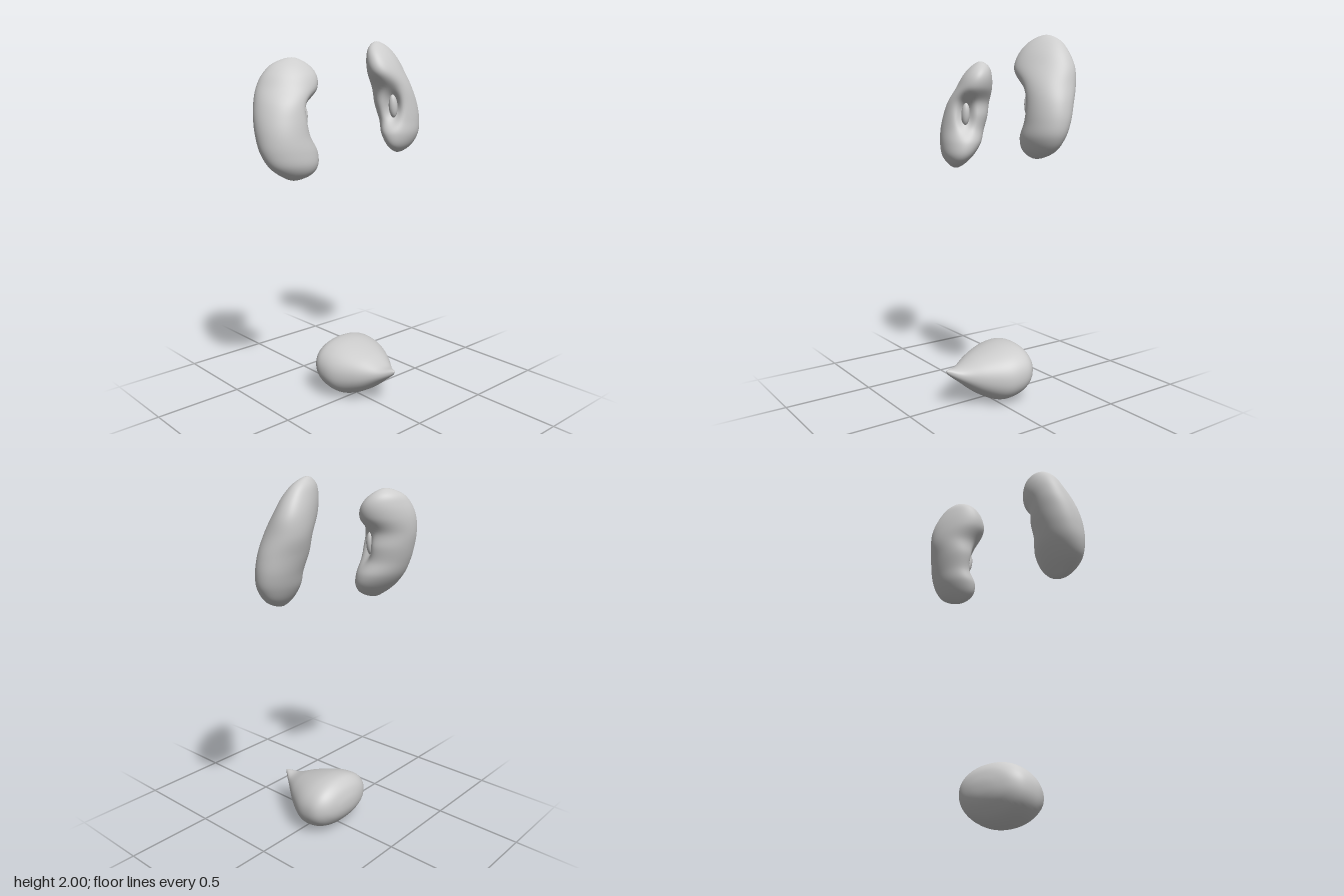
import * as THREE from 'three';
import { mergeVertices } from 'three/addons/utils/BufferGeometryUtils.js';

const SEGMENTS = 64;
const STEPS = 7;

// Smooth interpolation through four neighbouring values
function spline(a, b, c, d, t) {
  return 0.5 * (2 * b + (c - a) * t + (2 * a - 5 * b + 4 * c - d) * t * t + (3 * b - a - 3 * c + d) * t * t * t);
}

// Closed loft through rows of [s, uMin, uMax, vMin, vMax, skew]; skew slants each oval in the uv plane.
// A power below 1 squares the ovals; place(u, v, s) gives the final position; flip reverses the winding.
function loft(rows, power, place, flip) {
  const mirror = ([s, a, b, c, d, k]) => [s, b, a, d, c, k];
  const all = [mirror(rows[1]), ...rows, mirror(rows[rows.length - 2])];
  const wave = (a) => Math.sign(Math.cos(a)) * Math.abs(Math.cos(a)) ** power;
  const positions = [], index = [];
  let rings = 0;
  const addRing = (i, t) => {
    const [s, u0, u1, v0, v1, skew] = all[i].map((_, k) =>
      spline(all[i - 1][k], all[i][k], all[i + 1][k], all[i + 2][k], t));
    const delta = Math.acos(skew);
    for (let j = 0; j < SEGMENTS; j++) {
      const a = (j / SEGMENTS) * Math.PI * 2;
      const u = (u0 + u1) / 2 + ((u1 - u0) / 2) * wave(a);
      const v = (v0 + v1) / 2 + ((v1 - v0) / 2) * wave(a - delta);
      positions.push(...place(u, v, s));
    }
    rings++;
  };
  for (let i = 1; i < all.length - 2; i++) {
    for (let k = 0; k < STEPS; k++) addRing(i, k / STEPS);
  }
  addRing(all.length - 3, 1);
  for (let r = 0; r < rings - 1; r++) {
    for (let j = 0; j < SEGMENTS; j++) {
      const a = r * SEGMENTS + j, b = r * SEGMENTS + ((j + 1) % SEGMENTS);
      const c = a + SEGMENTS, d = b + SEGMENTS;
      if (flip) index.push(a, c, b, b, c, d);
      else index.push(a, b, c, b, d, c);
    }
  }
  const geometry = new THREE.BufferGeometry();
  geometry.setAttribute('position', new THREE.Float32BufferAttribute(positions, 3));
  geometry.setIndex(index);
  return mergeVertices(geometry, 1e-5);
}

// Press a soft oval pit into the side facing dir
function pressPit(geometry, centre, dir, depth) {
  const p = geometry.attributes.position;
  const across = new THREE.Vector3(dir.z, 0, -dir.x);
  const v = new THREE.Vector3();
  for (let i = 0; i < p.count; i++) {
    v.fromBufferAttribute(p, i).sub(centre);
    const reach = v.dot(dir);
    if (reach < 0) continue;
    const f = Math.exp(-((v.y / 0.085) ** 2) - (v.dot(across) / 0.045) ** 2);
    v.addScaledVector(dir, -depth * f * Math.min(1, reach / 0.05)).add(centre);
    p.setXYZ(i, v.x, v.y, v.z);
  }
}

// Horizontal slices of each kidney: [y, xMin, xMax, zMin, zMax, skew]
const LEFT = [
  [2.0, 0.3, 0.3, -0.16, -0.16, -0.4],
  [1.97, 0.225, 0.385, -0.2, -0.1, -0.4],
  [1.91, 0.188, 0.445, -0.222, -0.045, -0.4],
  [1.83, 0.187, 0.49, -0.235, -0.005, -0.38],
  [1.74, 0.242, 0.515, -0.232, 0.01, -0.2],
  [1.65, 0.253, 0.538, -0.208, 0.018, -0.08],
  [1.56, 0.27, 0.546, -0.18, 0.024, -0.08],
  [1.48, 0.265, 0.53, -0.15, 0.026, -0.12],
  [1.41, 0.295, 0.475, -0.105, 0, -0.25],
  [1.375, 0.37, 0.37, -0.05, -0.05, -0.3],
];
const RIGHT = [
  [1.905, -0.3, -0.3, -0.17, -0.17, 0.4],
  [1.875, -0.39, -0.228, -0.235, -0.11, 0.4],
  [1.82, -0.45, -0.193, -0.265, -0.06, 0.4],
  [1.75, -0.49, -0.2, -0.28, -0.03, 0.35],
  [1.67, -0.522, -0.25, -0.278, -0.008, 0.18],
  [1.59, -0.543, -0.25, -0.262, 0.008, 0.1],
  [1.51, -0.55, -0.255, -0.237, 0.02, 0.08],
  [1.43, -0.543, -0.236, -0.202, 0.03, 0.12],
  [1.36, -0.513, -0.25, -0.15, 0.028, 0.2],
  [1.31, -0.455, -0.3, -0.095, 0, 0.3],
  [1.285, -0.385, -0.385, -0.05, -0.05, 0.3],
];
// Slices of the bladder from tip to back: [z, xMin, xMax, yMin, yMax, skew]
const BLADDER = [
  [0.283, 0.025, 0.025, 0.212, 0.212, 0],
  [0.265, 0.007, 0.043, 0.185, 0.22, 0],
  [0.2, -0.042, 0.092, 0.132, 0.222, 0],
  [0.1, -0.12, 0.17, 0.053, 0.264, 0],
  [0, -0.177, 0.228, 0.003, 0.297, 0],
  [-0.08, -0.193, 0.243, 0.006, 0.313, 0],
  [-0.145, -0.182, 0.232, 0.036, 0.309, 0],
  [-0.19, -0.135, 0.185, 0.085, 0.275, 0],
  [-0.212, -0.06, 0.11, 0.13, 0.225, 0],
  [-0.218, 0.025, 0.025, 0.178, 0.178, 0],
];

export function createModel() {
  const model = new THREE.Group();
  const tissue = new THREE.MeshStandardMaterial({ color: 0xcccccc });
  tissue.name = 'light grey';

  const add = (name, geometry) => {
    geometry.computeVertexNormals();
    const mesh = new THREE.Mesh(geometry, tissue);
    mesh.name = name;
    model.add(mesh);
    return mesh;
  };

  // Kidneys, each with a hollow on the inner front and a small bud inside it
  const kidneys = [
    { name: 'leftKidney', rows: LEFT, side: 1, pit: new THREE.Vector3(0.4, 1.64, -0.09) },
    { name: 'rightKidney', rows: RIGHT, side: -1, pit: new THREE.Vector3(-0.39, 1.6, -0.12) },
  ];
  for (const { name, rows, side, pit } of kidneys) {
    const inward = new THREE.Vector3(-side, 0, 0.6).normalize();
    const geometry = loft(rows, 1, (x, y, z) => [x, z, y], false);
    pressPit(geometry, pit, inward, 0.07);
    add(name, geometry);

    const bud = add(name + 'Bud', new THREE.SphereGeometry(1, 24, 16));
    bud.scale.set(0.026, 0.065, 0.024);
    bud.position.copy(pit).addScaledVector(inward, 0.095);
    bud.rotation.z = side * 0.1;
  }

  // Bladder, a broad rounded back drawn out to a point at the front
  add('bladder', loft(BLADDER, 0.93, (x, y, z) => [x, y, z], true));
  return model;
}
